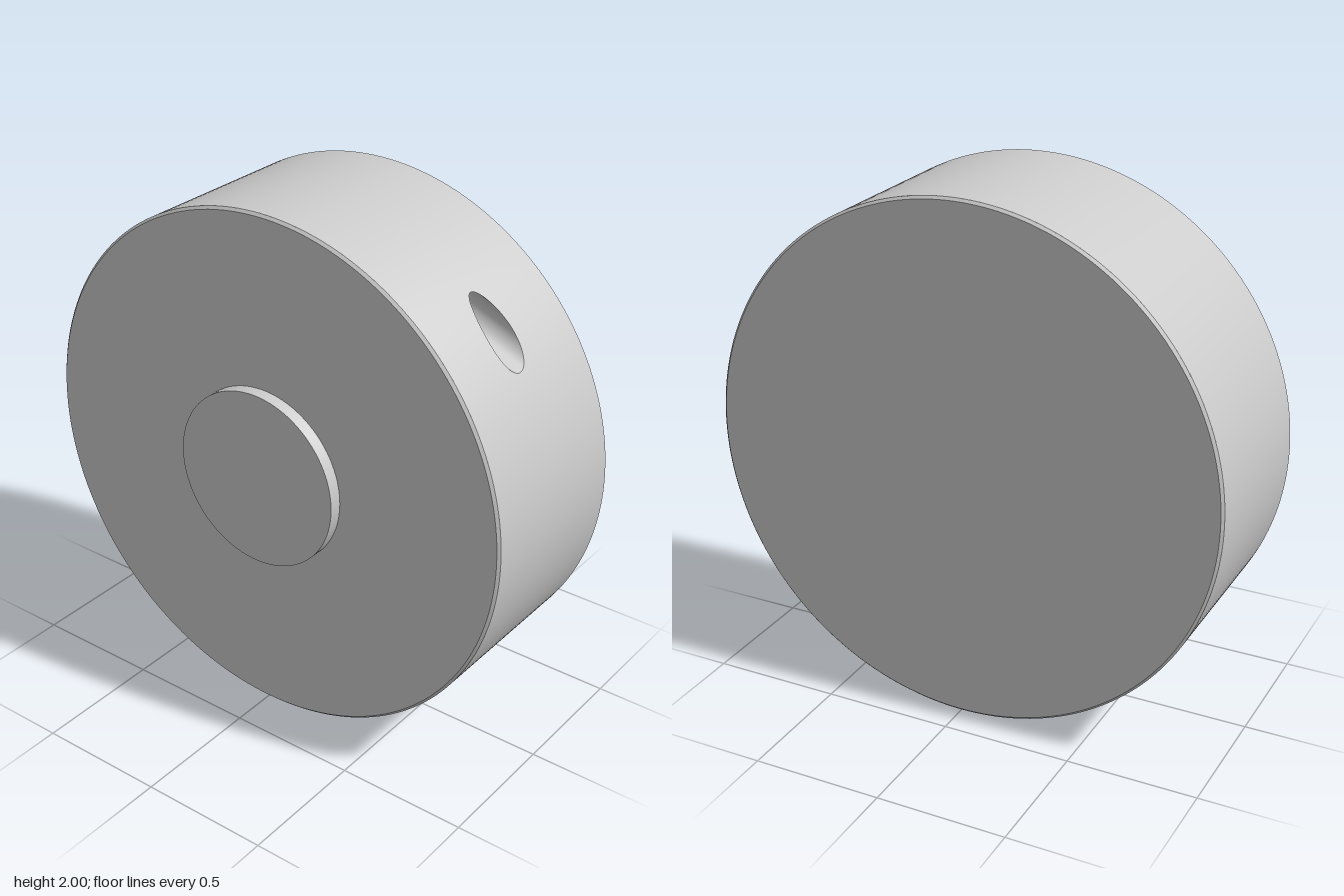
import * as THREE from 'three';

const BACK = -0.38, FRONT = 0.33, BEVEL = 0.01;        // drum depth and edge bevel
const Z0 = BACK + BEVEL, Z1 = FRONT - BEVEL;           // straight part of the rim
const BORE = { r: 0.07, angle: 2.761, offset: 0.884, end: -0.07 };
const MOUTH = 0.729, HALF = 0.28;                      // rim patch round a bore mouth (radians)
const N = 64;

const grey = new THREE.MeshStandardMaterial({ color: 0xcccccc });

function add(parent, name, geometry) {
  const mesh = new THREE.Mesh(geometry, grey);
  mesh.name = name;
  parent.add(mesh);
  return mesh;
}

// Skin over closed rings of N points each
function loft(rings) {
  const index = [];
  for (let j = 0; j < rings.length - 1; j++) {
    for (let k = 0; k < N; k++) {
      const a = j * N + k, b = j * N + (k + 1) % N;
      index.push(a, a + N, b + N, a, b + N, b);
    }
  }
  const geometry = new THREE.BufferGeometry().setFromPoints(rings.flat());
  geometry.setIndex(index);
  geometry.computeVertexNormals();
  return geometry;
}

const ring = (fn) => Array.from({ length: N }, (_, k) => fn((k / N) * Math.PI * 2));

// Point of the slanted bore: t goes round it, s along it (default: where it meets the rim)
function borePoint(t, s, r = BORE.r) {
  const q = BORE.offset + r * Math.cos(t);
  const along = s ?? -Math.sqrt(1 - q * q);
  const c = Math.cos(BORE.angle), n = Math.sin(BORE.angle);
  return new THREE.Vector3(q * n + along * c, -q * c + along * n, r * Math.sin(t));
}

// Rim patch that widens from the bore mouth to a rectangle on the drum
function rimPatch() {
  const rings = [];
  const rows = 10;
  for (let j = 0; j <= rows; j++) {
    const f = j / rows;
    rings.push(ring((t) => {
      const p = borePoint(t);
      const c = Math.cos(t), s = Math.sin(t), m = Math.max(Math.abs(c), Math.abs(s));
      const theta = THREE.MathUtils.lerp(Math.atan2(p.y, p.x), MOUTH + (HALF * c) / m, f);
      const zEdge = (Z0 + Z1) / 2 + ((Z1 - Z0) / 2) * (s / m);
      return new THREE.Vector3(Math.cos(theta), Math.sin(theta), THREE.MathUtils.lerp(p.z, zEdge, f));
    }));
  }
  const geometry = loft(rings);
  const pos = geometry.attributes.position, normal = geometry.attributes.normal;
  for (let i = 0; i < pos.count; i++) normal.setXYZ(i, pos.getX(i), pos.getY(i), 0);
  return geometry;
}

// Half of the rim with one blind bore
function rimHalf() {
  const half = new THREE.Group();
  half.name = 'rimHalf';
  const wall = new THREE.CylinderGeometry(1, 1, Z1 - Z0, 96, 1, true,
    MOUTH + HALF + Math.PI / 2, Math.PI - 2 * HALF);
  add(half, 'rimWall', wall.rotateX(Math.PI / 2).translate(0, 0, (Z0 + Z1) / 2));
  add(half, 'rimAroundBore', rimPatch());
  const end = ring((t) => borePoint(t, BORE.end));
  add(half, 'boreWall', loft([end, ring((t) => borePoint(t))]));
  add(half, 'boreEnd', loft([ring((t) => borePoint(t, BORE.end, 0.001)), end]));
  return half;
}

export function createModel() {
  const model = new THREE.Group();
  model.name = 'drum';

  // Rim: two halves, each with its bore, turned half a turn apart
  for (let i = 0; i < 2; i++) {
    const half = rimHalf();
    half.rotation.z = i * Math.PI;
    half.position.y = 1;
    model.add(half);
  }

  // Bevelled edges and flat faces
  for (const side of [1, -1]) {
    const z = side > 0 ? FRONT : BACK;
    const bevel = new THREE.CylinderGeometry(
      side > 0 ? 1 - BEVEL : 1, side > 0 ? 1 : 1 - BEVEL, BEVEL, 192, 1, true);
    bevel.rotateX(Math.PI / 2);
    add(model, side > 0 ? 'frontBevel' : 'backBevel', bevel)
      .position.set(0, 1, z - (side * BEVEL) / 2);
    const face = new THREE.CircleGeometry(1 - BEVEL, 192);
    if (side < 0) face.rotateY(Math.PI);
    add(model, side > 0 ? 'frontFace' : 'backFace', face).position.set(0, 1, z);
  }

  // Raised round boss on the front
  const boss = new THREE.CylinderGeometry(0.343, 0.343, 0.05, 96).rotateX(Math.PI / 2);
  add(model, 'frontBoss', boss).position.set(0, 1, FRONT + 0.025);

  return model;
}
